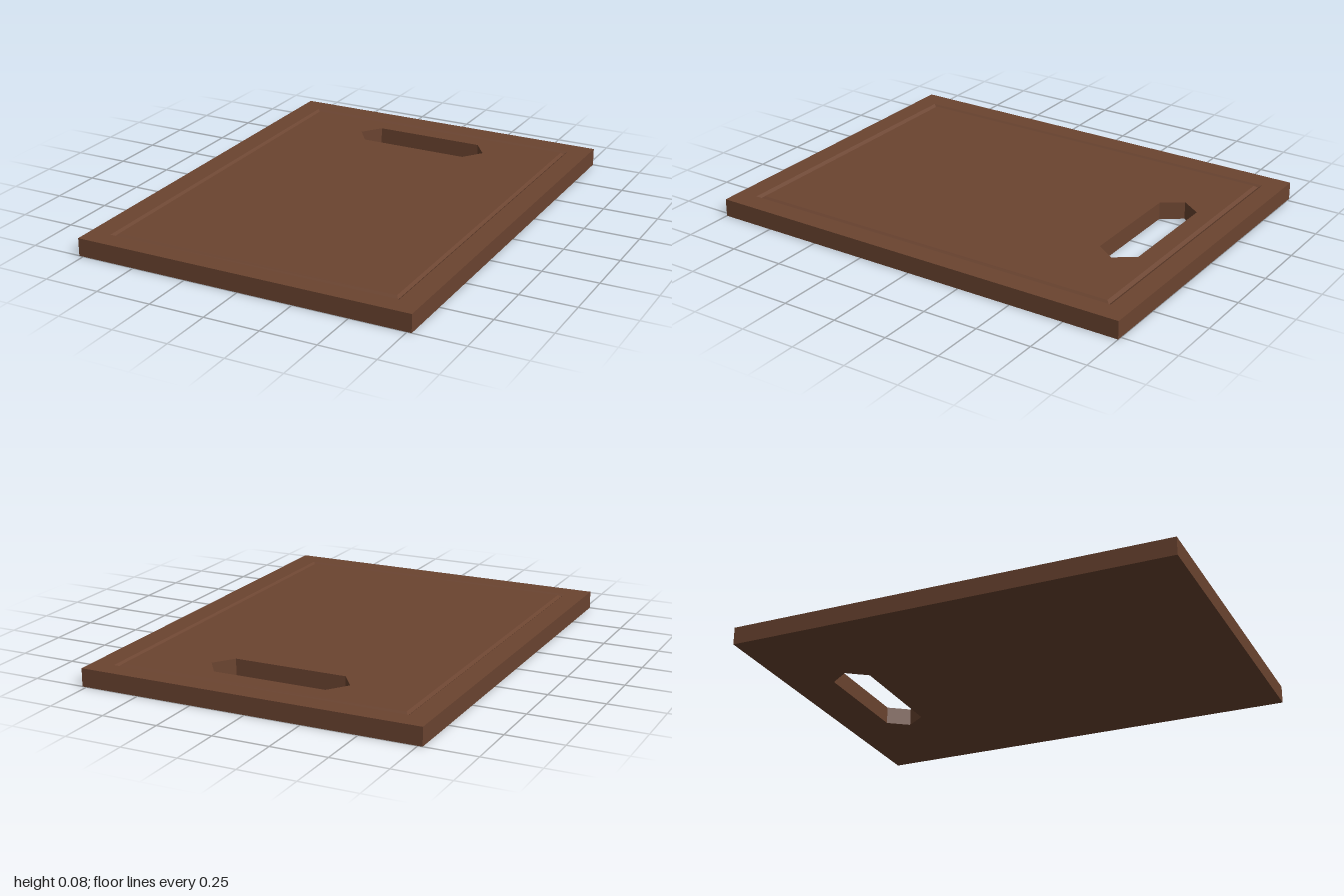
import * as THREE from 'three';

const TOP = 0.08;
const GROOVE_Y = 0.07;

// Rectangle as [x, z] corners, starting along the front edge
const rect = (w, d) => [[-w, d], [w, d], [w, -d], [-w, -d]];

const edge = rect(0.77, 1);
const grooveOuter = rect(0.672, 0.908);
const grooveMid = rect(0.66, 0.893);
const grooveInner = rect(0.648, 0.878);
const handle = [
  [-0.257, -0.613], [0.257, -0.613], [0.322, -0.704],
  [0.257, -0.795], [-0.257, -0.795], [-0.322, -0.704],
];

// Flat face with an optional hole, looking up (side 1) or down (side -1)
function face(outline, hole, y, side) {
  const points = (loop) => loop.map(([x, z]) => new THREE.Vector2(x, -side * z));
  const shape = new THREE.Shape(points(outline));
  if (hole) shape.holes.push(new THREE.Path(points(hole)));
  return new THREE.ShapeGeometry(shape).rotateX(-side * Math.PI / 2).translate(0, y, 0);
}

// Flat-sided band joining two loops at different heights
function band(a, ya, b, yb) {
  const pos = [];
  a.forEach((p, i) => {
    const j = (i + 1) % a.length;
    const A = [p[0], ya, p[1]], B = [a[j][0], ya, a[j][1]];
    const C = [b[j][0], yb, b[j][1]], D = [b[i][0], yb, b[i][1]];
    pos.push(...A, ...B, ...C, ...A, ...C, ...D);
  });
  const geometry = new THREE.BufferGeometry();
  geometry.setAttribute('position', new THREE.Float32BufferAttribute(pos, 3));
  geometry.computeVertexNormals();
  return geometry;
}

export function createModel() {
  const group = new THREE.Group();
  group.name = 'cuttingBoard';
  const wood = new THREE.MeshStandardMaterial({ color: 0x6b4430 });
  const add = (name, geometry) => {
    const mesh = new THREE.Mesh(geometry, wood);
    mesh.name = name;
    group.add(mesh);
  };

  // Board body
  add('underside', face(edge, handle, 0, -1));
  add('sides', band(edge, 0, edge, TOP));
  add('rim', face(edge, grooveOuter, TOP, 1));
  add('cuttingSurface', face(grooveInner, handle, TOP, 1));

  // Shallow V-shaped juice groove
  add('grooveOuterSlope', band(grooveOuter, TOP, grooveMid, GROOVE_Y));
  add('grooveInnerSlope', band(grooveMid, GROOVE_Y, grooveInner, TOP));

  // Walls of the handle opening
  add('handleOpening', band(handle, TOP, handle, 0));

  return group;
}
